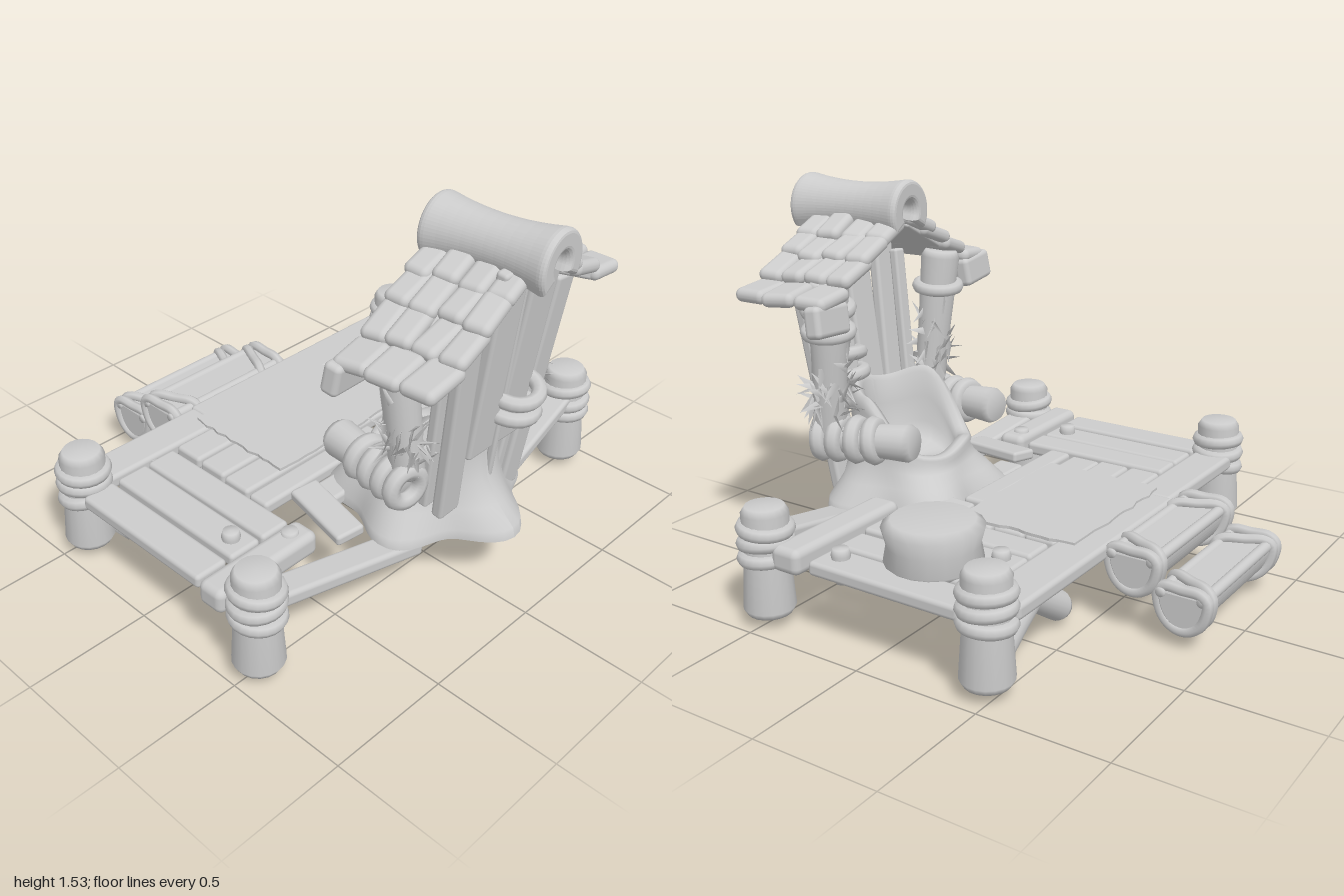
import * as THREE from 'three';
import { RoundedBoxGeometry } from 'three/addons/geometries/RoundedBoxGeometry.js';

const V = (x, y, z) => new THREE.Vector3(x, y, z);
const UP = V(0, 1, 0);

export function createModel() {
  const root = new THREE.Group();
  const wood = new THREE.MeshStandardMaterial({ color: 0xcccccc });
  const thin = new THREE.MeshStandardMaterial({ color: 0xcccccc, side: THREE.DoubleSide });
  let seed = 7;
  const rnd = () => (seed = (seed * 16807) % 2147483647) / 2147483647;
  const jit = (a) => (rnd() - 0.5) * 2 * a;

  const add = (name, geo, parent = root, mat = wood) => {
    const m = new THREE.Mesh(geo, mat);
    m.name = name;
    parent.add(m);
    return m;
  };
  const box = (name, w, h, d, x, y, z, parent = root, round = 0.3) => {
    const m = add(name, new RoundedBoxGeometry(w, h, d, 3, Math.min(w, h, d) * round), parent);
    m.position.set(x, y, z);
    return m;
  };
  // Flat deck board given by its extents in x and z
  const board = (name, x0, x1, z0, z1, y = 0.3, h = 0.055) => {
    const m = box(name, x1 - x0, h, z1 - z0, (x0 + x1) / 2, y + jit(0.004), (z0 + z1) / 2);
    m.rotation.y = jit(0.008);
    return m;
  };
  const along = (m, a, b) => {
    m.position.copy(a);
    m.quaternion.setFromUnitVectors(UP, b.clone().sub(a).normalize());
    return m;
  };
  // Round log with softened ends
  const log = (name, a, b, r0, r1, waist = 0.95, parent = root) => {
    const h = a.distanceTo(b), e = Math.min(0.025, h * 0.2);
    const pts = [[0, 0], [r0 * 0.85, 0], [r0, e], [(r0 + r1) / 2 * waist, h / 2],
      [r1, h - e], [r1 * 0.82, h], [0, h]].map(p => new THREE.Vector2(...p));
    return along(add(name, new THREE.LatheGeometry(pts, 18), parent), a, b);
  };
  // Rope rings wound around the line a-b
  const rope = (name, a, b, n, r, t, tilt = 0.12) => {
    const g = new THREE.Group();
    g.name = name;
    along(g, a, b);
    for (let i = 0; i < n; i++) {
      const m = add('ropeRing', new THREE.TorusGeometry(r, t, 8, 22), g);
      m.position.y = n > 1 ? a.distanceTo(b) * i / (n - 1) : 0;
      m.rotation.set(Math.PI / 2 + jit(tilt), jit(tilt), 0);
    }
    root.add(g);
  };
  const slat = (name, a, b, w, t) => {
    const h = a.distanceTo(b), geo = new RoundedBoxGeometry(w, h, t, 2, t * 0.3);
    geo.translate(0, h / 2, 0);
    return along(add(name, geo), a, b);
  };

  // Corner posts with rope
  for (const [x, z] of [[-0.89, -0.465], [0.88, -0.465], [-0.89, 0.51], [0.89, 0.5]]) {
    log('cornerPost', V(x, 0.05, z), V(x, 0.47, z), 0.098, 0.088, 0.92);
    rope('postRope', V(x, 0.275, z), V(x, 0.385, z), 3, 0.083, 0.027);
  }
  // Crossed braces under the rear edge
  for (const s of [-1, 1]) {
    log('brace', V(s * 0.8, 0.045, -0.41), V(s * 0.5, 0.28, -0.43), 0.058, 0.055);
    log('brace', V(s * 0.31, 0.07, -0.4), V(s * 0.64, 0.28, -0.38), 0.058, 0.055);
  }
  // Deck boards
  for (const [x0, x1, z0, z1] of [[-0.96, -0.82, -0.38, 0.28], [-0.8, -0.66, -0.38, 0.28], [-0.65, -0.52, -0.38, 0.28],
    [0.34, 0.47, -0.37, 0.28], [0.49, 0.61, -0.38, 0.28], [0.63, 0.77, -0.38, 0.27], [0.79, 0.94, -0.39, 0.26]])
    board('sideBoard', x0, x1, z0, z1);
  for (let i = 0; i < 3; i++) board('middleBoard', -0.5, 0.33, -0.385 + i * 0.142, -0.25 + i * 0.142);
  board('middleBoard', -0.51, 0.15, 0.05, 0.15);
  board('middleBoard', -0.32, 0.33, 0.17, 0.29, 0.285);
  board('rearBeam', -0.85, -0.27, -0.55, -0.39, 0.3, 0.06);
  board('rearBeam', -0.28, 0.83, -0.56, -0.385, 0.305, 0.06);
  board('frontBeam', -0.98, -0.5, 0.3, 0.42, 0.3, 0.1);
  board('frontBeam', 0.36, 0.95, 0.3, 0.43, 0.3, 0.1);
  board('tiltedBeam', -0.9, -0.16, 0.48, 0.6, 0.265, 0.06).rotation.set(0, -0.12, -0.15);
  board('tiltedBeam', 0.25, 0.88, 0.47, 0.6, 0.285, 0.055).rotation.set(0, 0.12, 0.21);
  board('looseBoard', -0.44, -0.32, 0.18, 0.5, 0.33, 0.045).rotation.set(0.05, -0.2, 0.1);
  slat('looseBoard', V(0.25, 0.31, 0.06), V(0.26, 0.33, 0.4), 0.12, 0.045);
  for (const [x, z] of [[-0.73, 0.2], [-0.58, 0.35], [0.55, -0.3], [0.85, 0.18]])
    log('peg', V(x, 0.23, z), V(x, 0.365, z), 0.025, 0.036);

  // Ragged mat
  const mat = new THREE.Shape();
  const edge = [[-0.33, 0.04], [0.33, 0.04], [0.33, -0.47], [-0.33, -0.47]];
  edge.forEach(([x, z], i) => {
    const [nx, nz] = edge[(i + 1) % 4];
    for (let k = 0; k < 14; k++) {
      const u = k / 14, px = x + (nx - x) * u + jit(0.008), pz = z + (nz - z) * u + jit(0.008);
      if (i + k) mat.lineTo(px, -pz); else mat.moveTo(px, -pz);
    }
  });
  const rug = add('mat', new THREE.ExtrudeGeometry(mat, { depth: 0.012, bevelEnabled: false }));
  rug.rotation.x = -Math.PI / 2;
  rug.position.y = 0.331;

  // Round stool
  log('stool', V(0.69, 0.31, -0.11), V(0.69, 0.49, -0.11), 0.18, 0.186, 0.92);

  // Half-log steps bound with rope
  const dPoint = (a, k) => V(0, -Math.pow(Math.abs(Math.sin(a)), 0.8) * 0.13 * k, Math.cos(a) * 0.095 * k);
  for (const [y, z] of [[0.31, -0.66], [0.21, -0.86]]) {
    const g = new THREE.Group();
    g.name = 'step';
    g.position.set(-0.055, y, z);
    const d = new THREE.Shape();
    d.absarc(0, 0, 0.087, Math.PI, Math.PI * 2);
    const geo = new THREE.ExtrudeGeometry(d, { depth: 0.6, bevelSize: 0.008, bevelThickness: 0.012, bevelSegments: 2, curveSegments: 14 });
    geo.translate(0, 0, -0.3).scale(1, 1.4, 1).rotateY(Math.PI / 2);
    add('halfLog', geo, g);
    for (const s of [-1, 1]) {
      log('barkEdge', V(-0.32, 0, s * 0.08), V(0.32, 0, s * 0.08), 0.022, 0.022, 1, g);
      [[0.3, 0.005], [0.225, 0.04]].forEach(([x, lean]) => {
        const pts = [];
        for (let i = 0; i <= 8; i++) pts.push(dPoint(Math.PI * (1 + i / 8), 1.04));
        pts.push(V(0, 0.022, 0.07), V(0, 0.022, 0), V(0, 0.022, -0.07));
        pts.forEach(p => { p.x = s * (x - lean * p.z / 0.09); });
        add('stepRope', new THREE.TubeGeometry(new THREE.CatmullRomCurve3(pts, true), 40, 0.021, 7, true), g);
      });
    }
    root.add(g);
  }

  // Hollow stump seat: tall back rim toward +z, low front, flared roots
  const bowl = [[0.355, 0.26], [0.35, 0.3], [0.295, 0.37], [0.255, 0.46], [0.24, 0.58], [0.245, 0.67], [0.235, 0.71],
    [0.215, 0.72], [0.19, 0.7], [0.18, 0.6], [0.17, 0.5], [0.14, 0.43], [0, 0.415]].map(p => new THREE.Vector2(...p));
  const seat = new THREE.LatheGeometry(bowl, 60);
  const sp = seat.attributes.position;
  for (let i = 0; i < sp.count; i++) {
    const x = sp.getX(i), y = sp.getY(i), z = sp.getZ(i), a = Math.atan2(x, z);
    const low = THREE.MathUtils.clamp((0.5 - y) / 0.22, 0, 1);
    const k = 1 + 0.13 * low * Math.cos(5 * a) + 0.03 * Math.sin(3 * a + 1);
    const f = 0.28 + 0.72 * THREE.MathUtils.smoothstep(Math.cos(a), -0.75, 0.35) + 0.05 * Math.sin(4 * a);
    sp.setXYZ(i, x * k, y > 0.4 ? 0.4 + (y - 0.4) * f : y, z * k);
  }
  seat.computeVertexNormals();
  add('stumpSeat', seat, root, thin).position.set(0.06, 0, 0.47);

  // Backrest boards
  for (const [x0, y0, z0, x1, y1, z1, w] of [[-0.11, 0.37, 0.68, -0.17, 1.27, 0.8, 0.11], [0, 0.6, 0.72, -0.005, 1.39, 0.83, 0.14],
    [0.15, 0.6, 0.72, 0.165, 1.34, 0.83, 0.15], [0.26, 0.3, 0.67, 0.34, 1.23, 0.79, 0.1]])
    slat('backBoard', V(x0, y0, z0), V(x1, y1, z1), w, 0.05);
  slat('backBoard', V(0.08, 0.45, 0.72), V(0.09, 1.36, 0.82), 0.025, 0.03);
  slat('backBoard', V(0.2, 0.28, 0.65), V(0.3, 1.2, 0.76), 0.06, 0.04);
  slat('backBoard', V(-0.17, 0.42, 0.64), V(-0.21, 1.2, 0.74), 0.06, 0.04);
  rope('boardRope', V(0.15, 0.74, 0.75), V(0.155, 0.82, 0.76), 2, 0.088, 0.029, 0.16);

  // Roof posts, armrests, bindings and straw
  for (const s of [-1, 1]) {
    const px = (y) => 0.07 + s * (0.315 + (y - 0.5) * 0.06), pz = (y) => 0.62 - (y - 0.5) * 0.08;
    const at = (y) => V(px(y), y, pz(y));
    log('roofPost', at(0.58), at(1.2), 0.065, 0.08);
    rope('roofPostRope', at(s > 0 ? 1.0 : 1.05), at(1.09), s > 0 ? 2 : 1, 0.083, 0.026, 0.2);
    const a = V(0.055 + s * 0.345, 0.56, 0.63), b = V(0.03 + s * 0.28, 0.575, 0.26);
    log('armrest', a, b, 0.06, 0.075);
    rope('armRope', a.clone().lerp(b, -0.03), a.clone().lerp(b, 0.55), 4, 0.064, 0.033, 0.12);
    const straw = new THREE.Group();
    straw.name = 'straw';
    for (let i = 0; i < 60; i++) {
      const y = 0.65 + rnd() * (i % 4 ? 0.16 : 0.34), q = rnd() * Math.PI * 2;
      const geo = new THREE.ConeGeometry(0.022, 0.09, 3);
      geo.scale(1, 1, 0.35).translate(0, 0.03, 0);
      const m = add('strawBlade', geo, straw, thin);
      const dir = V(Math.cos(q) * 0.5 + jit(0.5), jit(1.1), Math.sin(q) * 0.5 + jit(0.5)).normalize();
      m.position.set(px(y) + Math.cos(q) * 0.068, y, pz(y) + Math.sin(q) * 0.068);
      m.quaternion.setFromUnitVectors(UP, dir);
    }
    root.add(straw);
  }

  // Roof of overlapping tiles, turned slightly about its centre
  const roof = new THREE.Group();
  roof.name = 'roof';
  roof.position.set(0.05, 0, 0.68);
  roof.rotation.y = 0.09;
  root.add(roof);
  const rows = [[0.12, 1.355, 0.48], [0.235, 1.29, 0.45], [0.365, 1.225, 0.4], [0.515, 1.16, 0.2]];
  for (const s of [-1, 1]) {
    rows.forEach(([x, y, slope], r) => {
      const n = r === 3 ? 3 : 4, len = 0.41, w = len / n;
      for (let i = 0; i < n; i++) {
        const t = box('roofTile', 0.18 + jit(0.02), 0.055, w * 1.02, s * (x + jit(0.014)), y + jit(0.008),
          -len / 2 + w * (i + 0.5) - s * 0.005, roof, 0.48);
        t.rotation.set(jit(0.08), jit(0.1), -s * (slope - 0.1));
      }
    });
    box('rafter', 0.46, 0.035, 0.34, s * 0.25, 1.255, 0, roof).rotation.z = -s * 0.47;
    box('eaveBlock', 0.2, 0.12, 0.07, s * 0.53, 1.09, -0.18, roof).rotation.set(0.15, 0, s * 0.08);
  }
  // Saddle-shaped ridge cap with a horseshoe section
  const arch = new THREE.Shape();
  arch.absarc(0, 0, 0.11, -0.5, Math.PI + 0.5, false);
  arch.absarc(0, 0, 0.068, Math.PI + 0.5, -0.5, true);
  const cap = new THREE.ExtrudeGeometry(arch, { depth: 0.44, steps: 10, curveSegments: 20, bevelSize: 0.022, bevelThickness: 0.03, bevelSegments: 4 });
  cap.translate(0, 0, -0.22);
  const cp = cap.attributes.position;
  for (let i = 0; i < cp.count; i++) {
    const u = cp.getZ(i) / 0.25, k = 1 - 0.24 * Math.max(0, 1 - u * u);
    cp.setXY(i, cp.getX(i) * k, cp.getY(i) * k + (1 - k) * 0.02);
  }
  cap.computeVertexNormals();
  add('ridgeCap', cap, roof).position.set(0, 1.41, 0.035);
  return root;
}
